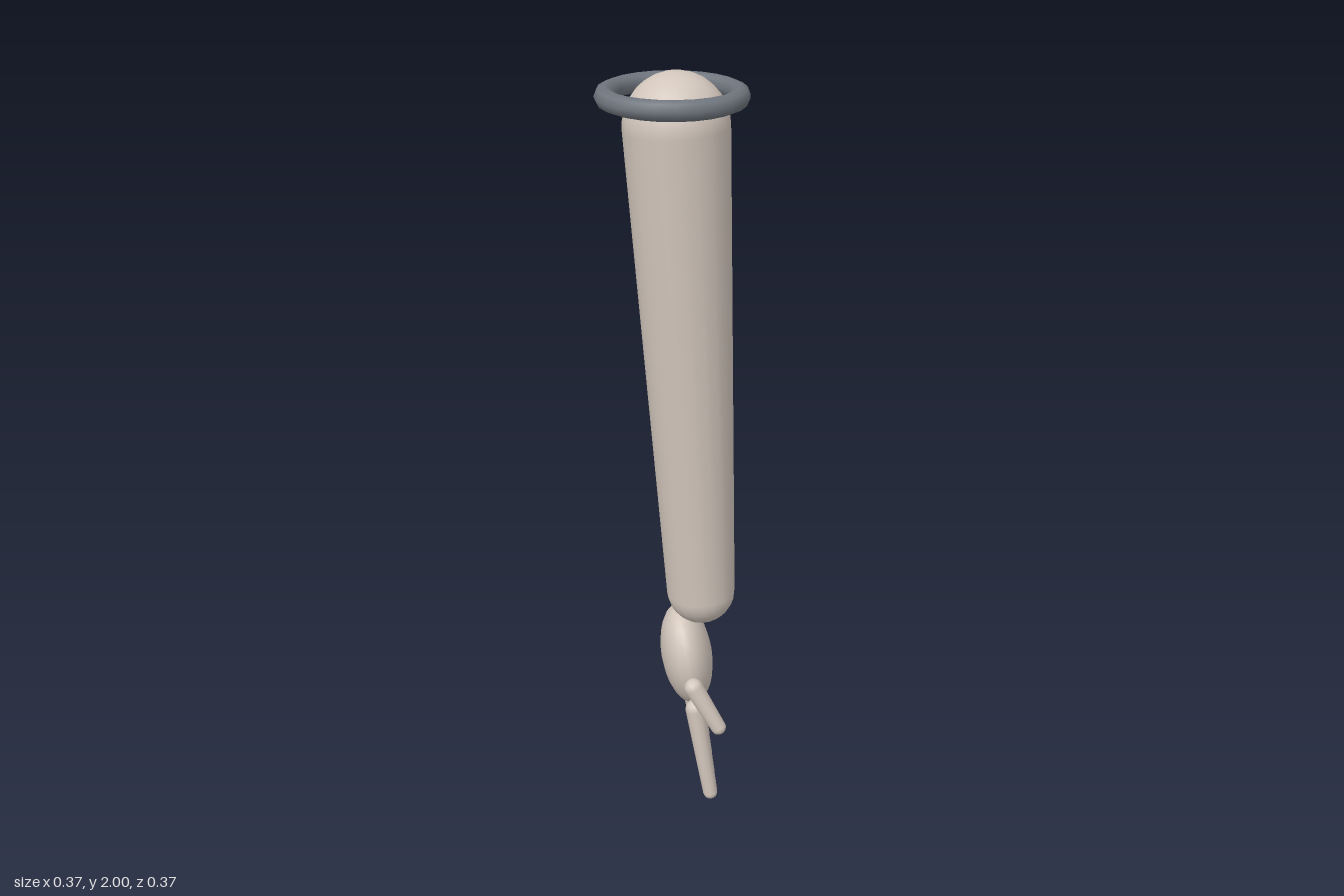
import * as THREE from 'three';

const skin = new THREE.MeshStandardMaterial({ color: 0xd2c6bc });
const metal = new THREE.MeshStandardMaterial({ color: 0x70767e });

// Round-ended limb tapering from radius ra at point a (upper) to rb at point b (lower)
function taperedLimb(name, a, b, ra, rb, sides, capSteps) {
  const top = new THREE.Vector3(...a), bottom = new THREE.Vector3(...b);
  const axis = top.clone().sub(bottom), length = axis.length();
  // angle at which the straight side is tangent to both end spheres
  const tilt = Math.asin((rb - ra) / length);
  const profile = [];
  const cap = (from, to, r, y) => {
    for (let i = 0; i <= capSteps; i++) {
      const t = from + (to - from) * i / capSteps;
      profile.push(new THREE.Vector2(Math.max(0, r * Math.cos(t)), y + r * Math.sin(t)));
    }
  };
  cap(-Math.PI / 2, tilt, rb, 0);
  cap(tilt, Math.PI / 2, ra, length);
  const mesh = new THREE.Mesh(new THREE.LatheGeometry(profile, sides), skin);
  mesh.name = name;
  mesh.position.copy(bottom);
  mesh.quaternion.setFromUnitVectors(new THREE.Vector3(0, 1, 0), axis.normalize());
  return mesh;
}

export function createModel() {
  const model = new THREE.Group();
  model.name = 'arm';

  // Ring around the top of the arm
  const ring = new THREE.Mesh(new THREE.TorusGeometry(0.16, 0.025, 8, 24), metal);
  ring.name = 'shoulderRing';
  ring.rotation.x = Math.PI / 2;
  ring.position.y = 1.943;
  model.add(ring);

  // Arm, narrowing to the wrist
  model.add(taperedLimb('armShaft', [0.01, 1.87, 0], [0.078, 0.602, 0], 0.13, 0.092, 20, 8));

  // Hand
  const hand = new THREE.Group();
  hand.name = 'hand';
  model.add(hand);

  const palm = new THREE.Mesh(new THREE.SphereGeometry(1, 20, 14), skin);
  palm.name = 'palm';
  palm.scale.set(0.07, 0.147, 0.122);
  palm.position.set(0.04, 0.4, 0);
  palm.rotation.z = 0.15;
  hand.add(palm);

  // Four fingers fanning out slightly, then the thumb
  [[0.108, 0.132], [0.037, 0.045], [-0.037, -0.045], [-0.108, -0.132]].forEach(([z0, z1], i) =>
    hand.add(taperedLimb('finger' + (i + 1), [0.057, 0.286, z0], [0.099, 0.022, z1], 0.027, 0.02, 12, 5)));
  hand.add(taperedLimb('thumb', [0.05, 0.378, 0.142], [0.116, 0.262, 0.163], 0.026, 0.021, 12, 5));

  return model;
}
